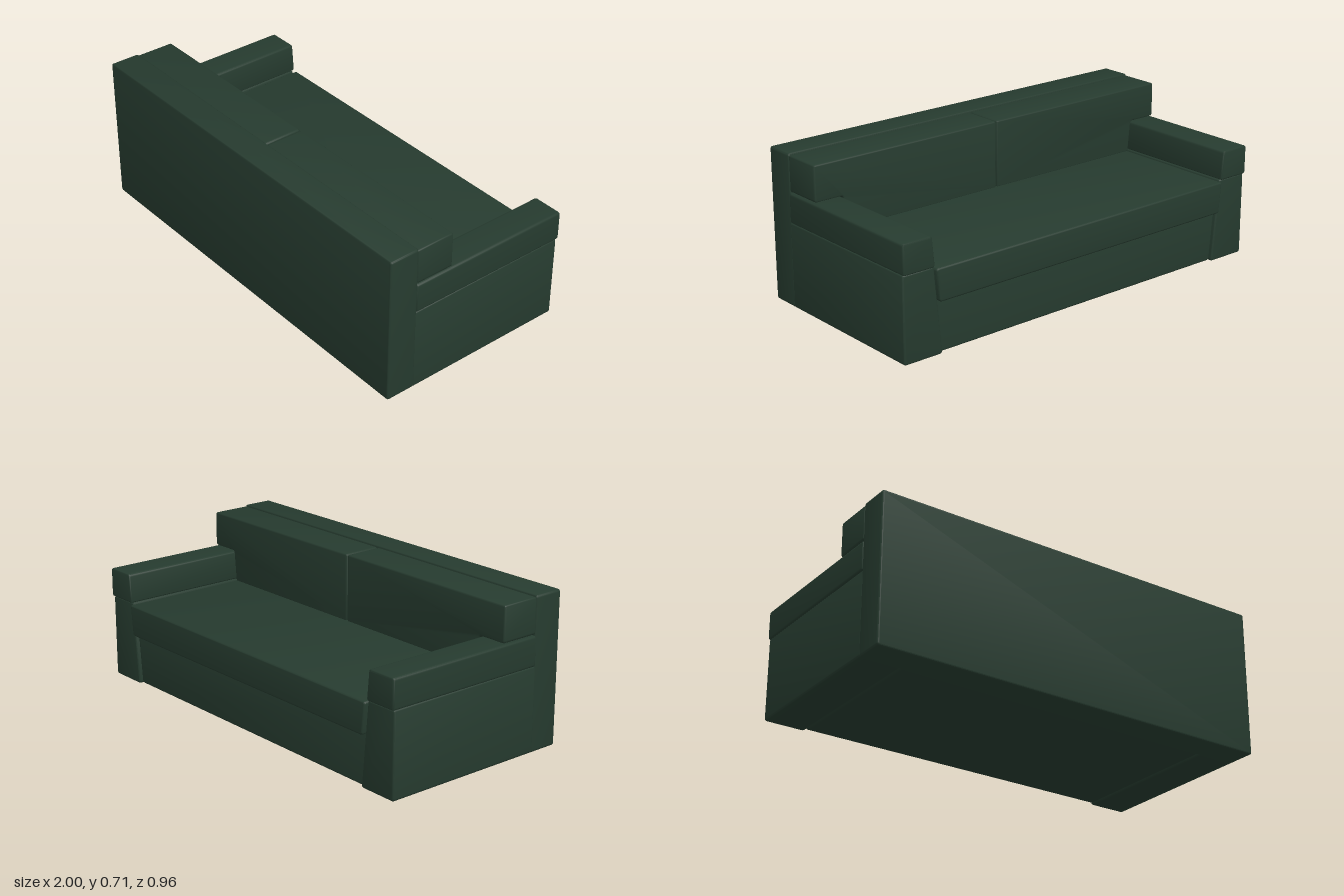
import * as THREE from 'three';
import { toCreasedNormals } from 'three/addons/utils/BufferGeometryUtils.js';

const BEVEL = 0.008, RADIUS = 0.013;
const fabric = new THREE.MeshStandardMaterial({ color: 0x263b2f });

// Polygon (counter-clockwise) with softly rounded corners
function roundedShape(points) {
  const v = points.map(([x, y]) => new THREE.Vector2(x, y));
  const shape = new THREE.Shape();
  v.forEach((p, i) => {
    const prev = v[(i + v.length - 1) % v.length], next = v[(i + 1) % v.length];
    const a = p.clone().add(prev.clone().sub(p).setLength(RADIUS));
    const b = p.clone().add(next.clone().sub(p).setLength(RADIUS));
    if (i === 0) shape.moveTo(a.x, a.y); else shape.lineTo(a.x, a.y);
    shape.quadraticCurveTo(p.x, p.y, b.x, b.y);
  });
  shape.closePath();
  return shape;
}

// Upholstered block: an x/y section carried from z0 to z1 with soft ends
function block(name, points, z0, z1) {
  const geo = new THREE.ExtrudeGeometry(roundedShape(points), {
    depth: z1 - z0 - 2 * BEVEL, curveSegments: 4,
    bevelEnabled: true, bevelThickness: BEVEL, bevelSize: BEVEL,
    bevelOffset: -BEVEL, bevelSegments: 3,
  });
  geo.translate(0, 0, z0 + BEVEL);
  const mesh = new THREE.Mesh(toCreasedNormals(geo, 0.7), fabric);
  mesh.name = name;
  return mesh;
}

// Inner face of the arms leans outward with height
const innerX = (y) => 0.8 + 0.094 * y;

// Mirror a right-hand section to the other side, keeping its winding
const mirrored = (pts, side) => side > 0 ? pts : pts.map(([x, y]) => [-x, y]).reverse();

// Section spanning the space between the arms
const between = (y0, y1) => [
  [-innerX(y0), y0], [innerX(y0), y0], [innerX(y1), y1], [-innerX(y1), y1],
];

export function createModel() {
  const sofa = new THREE.Group();
  sofa.name = 'sofa';

  // Back frame, base and seat
  sofa.add(block('backFrame', [[-0.997, 0], [0.997, 0], [0.997, 0.712], [-0.997, 0.712]], 0.335, 0.48));
  sofa.add(block('seatBase', between(0.003, 0.25), -0.45, 0.34));
  sofa.add(block('seatCushion', between(0.24, 0.39), -0.481, 0.337));

  for (const side of [1, -1]) {
    const label = side > 0 ? 'left' : 'right';

    // Arm body and its padded top
    const arm = [[innerX(0), 0], [0.997, 0], [0.997, 0.396], [innerX(0.396), 0.396]];
    sofa.add(block(label + 'Arm', mirrored(arm, side), -0.464, 0.345));
    const pad = [[innerX(0.395), 0.395], [1, 0.395], [1, 0.534], [innerX(0.534), 0.534]];
    sofa.add(block(label + 'ArmPad', mirrored(pad, side), -0.473, 0.34));

    // Back cushion with a wing that rests over the arm
    const cushion = [
      [0.001, 0.385], [innerX(0.385), 0.385], [innerX(0.538), 0.538],
      [0.996, 0.538], [0.996, 0.705], [0.001, 0.705],
    ];
    sofa.add(block(label + 'BackCushion', mirrored(cushion, side), 0.147, 0.337));
  }
  return sofa;
}
